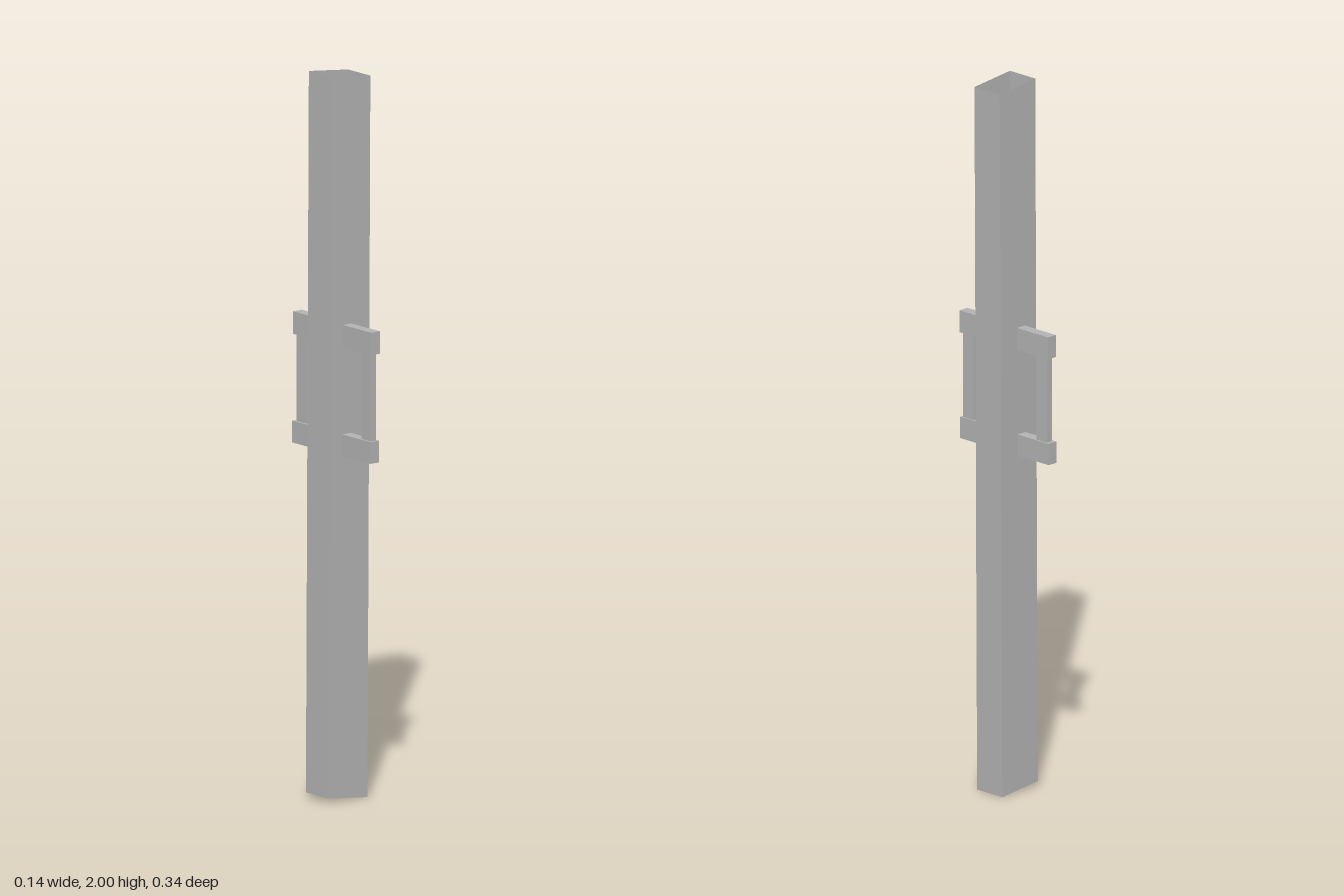
import * as THREE from 'three';

export function createModel() {
  const group = new THREE.Group();
  group.name = 'postWithHandles';
  const grey = new THREE.MeshStandardMaterial({ color: 0xb2b2b2, side: THREE.DoubleSide });
  grey.name = 'grey';

  // Open rectangular tube, leaning slightly, with its ends cut on a slant
  const zBack = -0.05, zFront = 0.046;
  const corner = (side, top, z) => [side * 0.0675 + (top ? 0.005 : -0.005), (top ? 1.985 : 0) + (side < 0 ? 0.015 : 0), z];
  const ring = [[-1, zFront], [1, zFront], [1, zBack], [-1, zBack]];
  const positions = [];
  ring.forEach(([s0, z0], i) => {
    const [s1, z1] = ring[(i + 1) % 4];
    const a = corner(s0, false, z0), b = corner(s1, false, z1);
    const c = corner(s1, true, z1), d = corner(s0, true, z0);
    positions.push(...a, ...b, ...c, ...a, ...c, ...d);
  });
  const tube = new THREE.BufferGeometry();
  tube.setAttribute('position', new THREE.Float32BufferAttribute(positions, 3));
  tube.computeVertexNormals();
  const post = new THREE.Mesh(tube, grey);
  post.name = 'post';
  group.add(post);

  const addBox = (name, w, h, d, x, y, z) => {
    const mesh = new THREE.Mesh(new THREE.BoxGeometry(w, h, d), grey);
    mesh.name = name;
    mesh.position.set(x, y, z);
    group.add(mesh);
  };

  // Crossbars run right through the post
  addBox('upperCrossbar', 0.03, 0.062, 0.336, -0.008, 1.281, 0);
  addBox('lowerCrossbar', 0.03, 0.06, 0.336, -0.01, 0.981, 0);

  // Upright grips joining the crossbars at front and back
  addBox('frontGrip', 0.019, 0.244, 0.04, -0.009, 1.13, 0.141);
  addBox('backGrip', 0.019, 0.244, 0.04, -0.009, 1.13, -0.137);

  return group;
}
